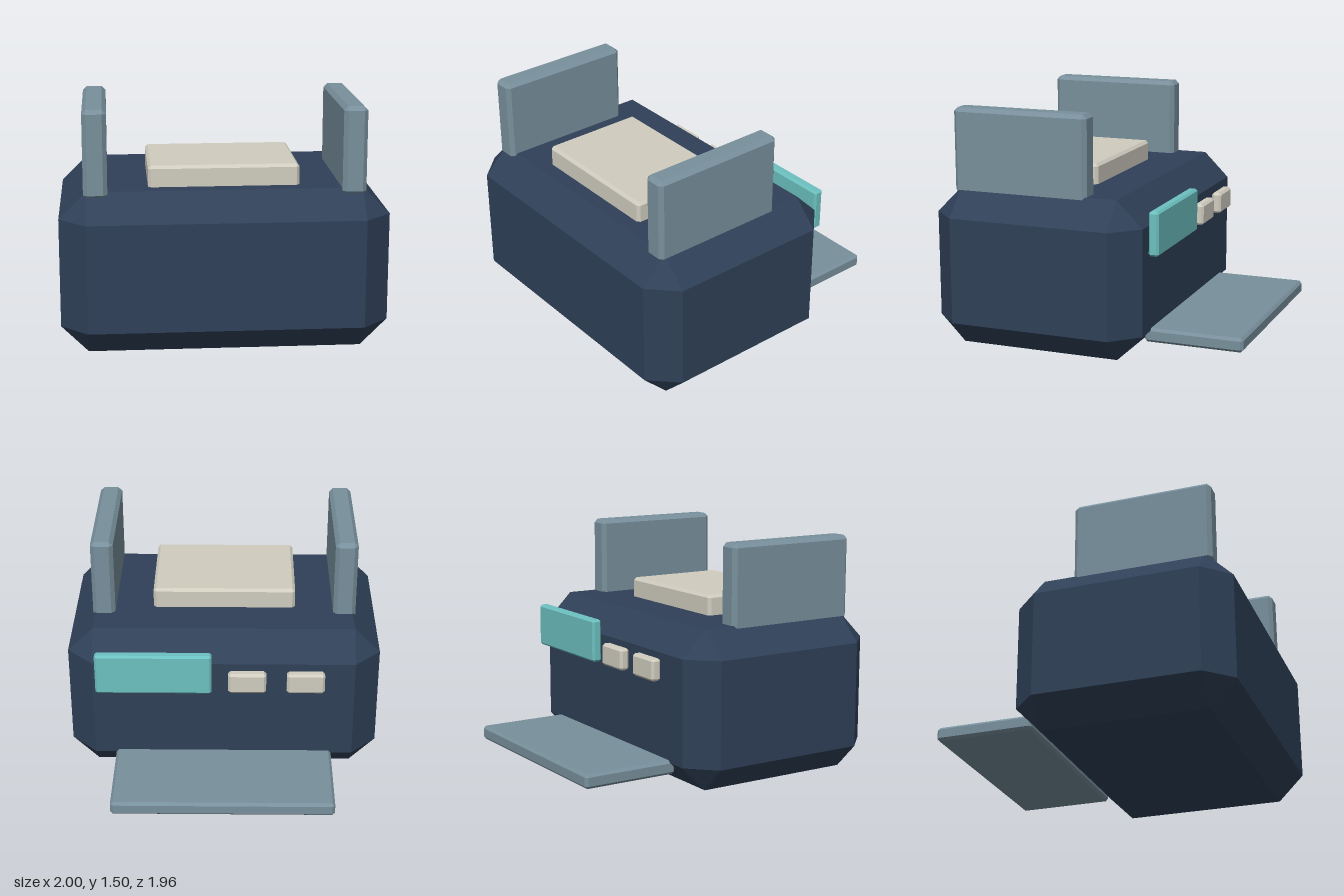
import * as THREE from 'three';
import { ConvexGeometry } from 'three/addons/geometries/ConvexGeometry.js';

const paint = (color) => new THREE.MeshStandardMaterial({ color, flatShading: true });

// Box with flat chamfers of width c on all edges, given by its extents [min, max]
function chamferBox(name, [x0, x1], [y0, y1], [z0, z1], c, material) {
  const half = [(x1 - x0) / 2, (y1 - y0) / 2, (z1 - z0) / 2];
  const points = [];
  for (const sx of [-1, 1]) for (const sy of [-1, 1]) for (const sz of [-1, 1]) {
    for (let axis = 0; axis < 3; axis++) {
      const [x, y, z] = half.map((h, i) => (i === axis ? h : h - c));
      points.push(new THREE.Vector3(sx * x, sy * y, sz * z));
    }
  }
  const mesh = new THREE.Mesh(new ConvexGeometry(points), material);
  mesh.name = name;
  mesh.position.set((x0 + x1) / 2, (y0 + y1) / 2, (z0 + z1) / 2);
  return mesh;
}

export function createModel() {
  const model = new THREE.Group();
  model.name = 'machine';
  const navy = paint(0x2f4058);
  const slate = paint(0x78909c);
  const cream = paint(0xd0cdbf);
  const teal = paint(0x6cc0c0);

  // Main housing
  model.add(chamferBox('body', [-1, 1], [0, 1], [-0.39, 0.98], 0.165, navy));

  // Upright guides on both sides of the top
  model.add(chamferBox('leftGuide', [0.705, 0.85], [0.96, 1.5], [-0.03, 0.855], 0.025, slate));
  model.add(chamferBox('rightGuide', [-0.85, -0.705], [0.96, 1.5], [-0.03, 0.855], 0.025, slate));

  // Raised pad between the guides
  model.add(chamferBox('topPad', [-0.46, 0.46], [0.97, 1.13], [0.055, 0.72], 0.018, cream));

  // Tray at the foot of the back
  model.add(chamferBox('tray', [-0.7, 0.7], [0.09, 0.18], [-0.98, -0.35], 0.017, slate));

  // Display and two buttons on the back
  model.add(chamferBox('display', [0.075, 0.81], [0.665, 0.94], [-0.48, -0.415], 0.013, teal));
  [-0.52, -0.15].forEach((x, i) => {
    model.add(chamferBox(`button${i + 1}`, [x - 0.12, x + 0.12], [0.67, 0.81], [-0.48, -0.415], 0.015, cream));
  });

  return model;
}
